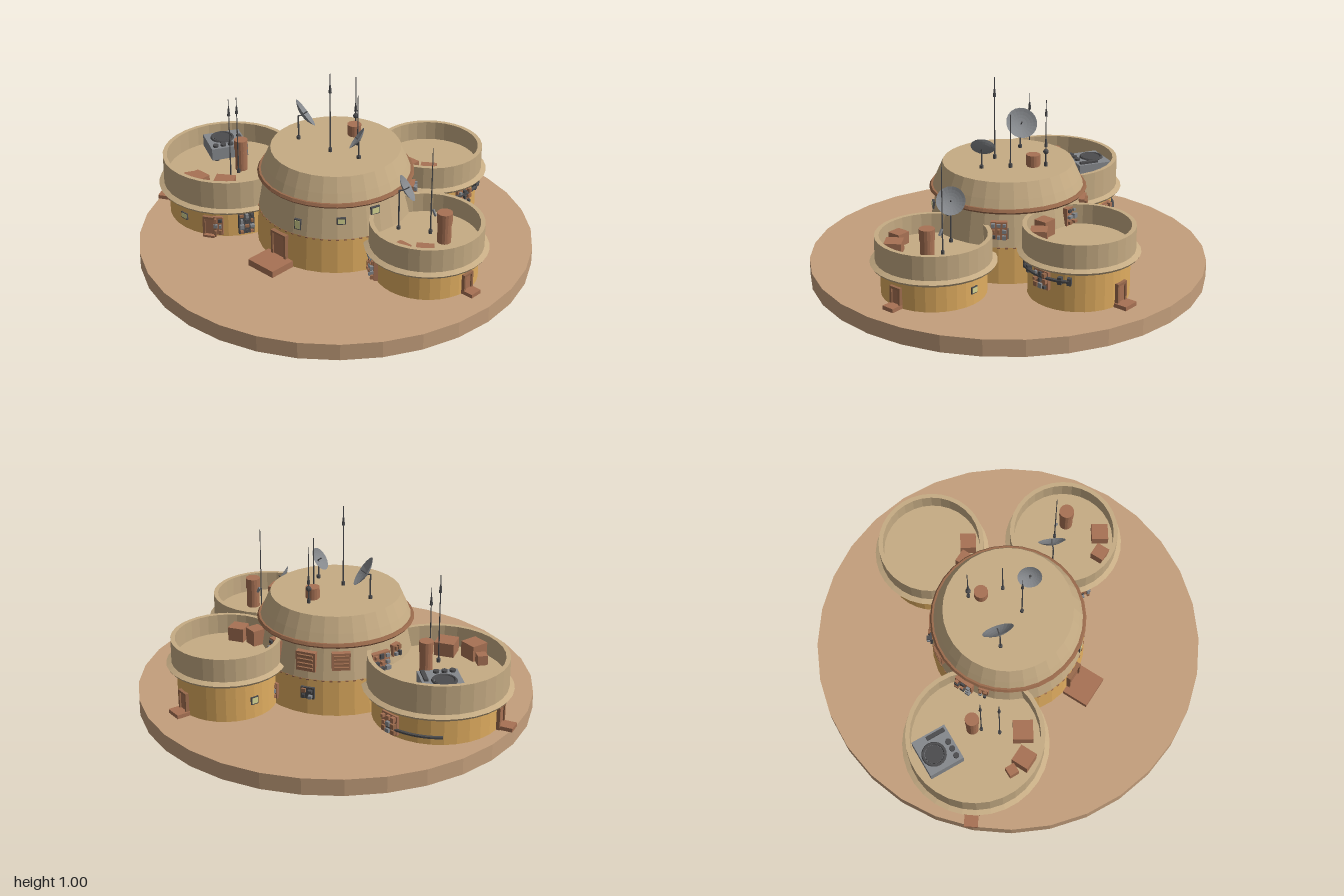
import * as THREE from 'three';

const mat = (color) => new THREE.MeshStandardMaterial({ color, flatShading: true, side: THREE.DoubleSide });
const SAND = mat(0xc49f7c), OCHRE = mat(0xe0ad60), TAN = mat(0xc6ac84), RUST = mat(0xa87254),
  BROWN = mat(0x9a6a4c), GREY = mat(0x85888c), DARK = mat(0x4c4c4e), GLASS = mat(0xd6d592);
const GROUND = 0.085;

function add(parent, name, geometry, material, x = 0, y = 0, z = 0) {
  const mesh = new THREE.Mesh(geometry, material);
  mesh.name = name;
  mesh.position.set(x, y, z);
  parent.add(mesh);
  return mesh;
}
const box = (p, name, m, w, h, d, x, y, z) => add(p, name, new THREE.BoxGeometry(w, h, d), m, x, y, z);
// upright cylinder measured from its base
const rod = (p, name, m, r, h, x, y, z, sides = 8, rTop = r) =>
  add(p, name, new THREE.CylinderGeometry(rTop, r, h, sides), m, x, y + h / 2, z);
const lathe = (p, name, m, pts) =>
  add(p, name, new THREE.LatheGeometry(pts.map(([r, y]) => new THREE.Vector2(r, y)), 32), m);

function group(parent, name, x = 0, y = 0, z = 0, turn = 0) {
  const g = new THREE.Group();
  g.name = name;
  g.position.set(x, y, z);
  g.rotation.y = turn;
  parent.add(g);
  return g;
}
// group on a round wall, its +z pointing outward
const onWall = (p, name, r, deg, y) => {
  const a = THREE.MathUtils.degToRad(deg);
  return group(p, name, r * Math.sin(a), y, r * Math.cos(a), a);
};

let seed = 7;
const rand = () => (seed = (seed * 16807) % 2147483647) / 2147483647;

function windowPane(p, r, deg, y, w, h) {
  const g = onWall(p, 'window', r, deg, y);
  box(g, 'windowFrame', DARK, w, h, 0.016, 0, 0, 0);
  box(g, 'windowGlass', GLASS, w - 0.01, h - 0.01, 0.02, 0, 0, 0);
}

function door(p, r, deg, w, h, stepW, stepH, stepD) {
  const g = onWall(p, 'door', r, deg, GROUND);
  box(g, 'doorLeaf', RUST, w - 0.02, h, 0.02, 0, h / 2, 0);
  for (const s of [-1, 1]) box(g, 'doorPost', BROWN, 0.012, h, 0.035, s * (w / 2 - 0.006), h / 2, 0);
  box(g, 'doorLintel', BROWN, w, 0.012, 0.035, 0, h, 0);
  box(g, 'doorStep', RUST, stepW, stepH, stepD, 0, stepH / 2, stepD / 2);
}

// wall panel with a grid of small fittings
function panel(p, r, deg, y, w, h, base = RUST) {
  const g = onWall(p, 'servicePanel', r, deg, y);
  box(g, 'panelPlate', base, w, h, 0.025, 0, 0, 0);
  const cols = Math.max(2, Math.round(w / 0.03)), rows = Math.max(2, Math.round(h / 0.03));
  for (let i = 0; i < cols; i++) for (let j = 0; j < rows; j++) {
    const m = [DARK, RUST, BROWN, GREY][Math.floor(rand() * 4)];
    box(g, 'panelFitting', m, w / cols * (0.4 + 0.4 * rand()), h / rows * (0.4 + 0.4 * rand()), 0.02 + 0.02 * rand(),
      ((i + 0.5) / cols - 0.5) * w, ((j + 0.5) / rows - 0.5) * h, 0.012);
  }
}

// shutter with horizontal slats
function shutter(p, r, deg, y, w, h) {
  const g = onWall(p, 'shutter', r, deg, y);
  box(g, 'shutterPlate', RUST, w, h, 0.03, 0, 0, 0);
  for (let i = 0; i < 4; i++) box(g, 'shutterSlat', BROWN, w * 0.8, h * 0.1, 0.015, 0, (i - 1.5) * h * 0.22, 0.018);
}

// horizontal pipe following a round wall
function wallPipe(p, r, from, to, y) {
  const pts = [];
  for (let i = 0; i <= 8; i++) {
    const a = THREE.MathUtils.degToRad(from + (to - from) * i / 8);
    pts.push(new THREE.Vector3(r * Math.sin(a), y, r * Math.cos(a)));
  }
  add(p, 'wallPipe', new THREE.TubeGeometry(new THREE.CatmullRomCurve3(pts), 16, 0.009, 6), DARK);
}

function antenna(p, x, y, z, top, bead) {
  const g = group(p, 'antenna', x, y, z), h = top - y;
  rod(g, 'antennaFoot', DARK, 0.009, 0.02, 0, 0, 0);
  rod(g, 'antennaMast', DARK, 0.004, h, 0, 0, 0, 6, 0.002);
  if (bead) rod(g, 'antennaBead', DARK, 0.008, 0.04, 0, bead - y - 0.02, 0, 8, 0.004);
}

// shallow bowl facing along a direction, on a thin mast
function dish(p, r, center, dir, foot) {
  const g = group(p, 'satelliteDish'), n = new THREE.Vector3(...dir).normalize();
  const pts = [];
  for (let i = 0; i <= 5; i++) pts.push(new THREE.Vector2(r * i / 5, r * 0.3 * ((i / 5) ** 2 - 0.8)));
  const bowl = add(g, 'dishBowl', new THREE.LatheGeometry(pts, 20), GREY, ...center);
  bowl.quaternion.setFromUnitVectors(new THREE.Vector3(0, 1, 0), n);
  rod(bowl, 'dishFeed', DARK, 0.003, r * 0.4, 0, -r * 0.2, 0, 6);
  const back = new THREE.Vector3(...center).addScaledVector(n, -r * 0.25);
  rod(g, 'dishMast', DARK, 0.004, back.y - foot[1], foot[0], foot[1], foot[2], 6);
  rod(g, 'dishFoot', DARK, 0.01, 0.015, ...foot);
  const start = new THREE.Vector3(foot[0], back.y, foot[2]);
  add(g, 'dishArm', new THREE.TubeGeometry(new THREE.LineCurve3(start, back), 1, 0.004, 6), DARK);
}

function vent(p, x, y, z, r, top) {
  const g = group(p, 'roofVent', x, y, z), h = top - y;
  rod(g, 'ventPipe', RUST, r * 0.9, h, 0, 0, 0, 16);
  rod(g, 'ventCap', RUST, r, Math.min(h, 0.055), 0, h - Math.min(h, 0.055), 0, 16);
}

function crate(p, x, y, z, w, h, turn) {
  box(p, 'roofCrate', RUST, w, h, w, x, y + h / 2, z).rotation.y = turn;
}

// round house with a flared eave and a parapet around a sunken roof
function roundHouse(p, name, x, z, wall, eave, eaveY, top, roofY) {
  const g = group(p, name, x, 0, z), par = eave - 0.025;
  lathe(g, 'wall', OCHRE, [[wall, GROUND], [wall, eaveY]]);
  lathe(g, 'parapetAndRoof', TAN, [[wall, eaveY - 0.02], [eave - 0.008, eaveY - 0.012], [eave, eaveY],
    [par, eaveY + 0.012], [par, top], [par - 0.022, top], [par - 0.022, roofY], [0, roofY]]);
  return g;
}

export function createModel() {
  const root = new THREE.Group();
  root.name = 'domeSettlement';
  rod(root, 'groundDisc', SAND, 1, GROUND, 0, 0, 0, 32);

  // central tower
  const tower = group(root, 'centralTower');
  lathe(tower, 'lowerWall', OCHRE, [[0.398, GROUND], [0.39, 0.27]]);
  lathe(tower, 'upperWall', TAN, [[0.39, 0.27], [0.357, 0.445]]);
  lathe(tower, 'trimRing', BROWN, [[0.355, 0.44], [0.385, 0.44], [0.393, 0.45], [0.385, 0.463], [0.36, 0.463]]);
  lathe(tower, 'slopedRoof', TAN, [[0.375, 0.463], [0.358, 0.505], [0.325, 0.58], [0, 0.58]]);
  for (let i = 0; i < 64; i++) {
    box(onWall(tower, 'wallStud', 0.388, i * 5.625, 0.268), 'stud', BROWN, 0.014, 0.006, 0.01, 0, 0, 0);
  }
  door(tower, 0.392, 0, 0.1, 0.16, 0.17, 0.035, 0.14);
  windowPane(tower, 0.379, 15, 0.325, 0.035, 0.055);
  windowPane(tower, 0.372, 48, 0.365, 0.045, 0.035);
  windowPane(tower, 0.366, 75, 0.393, 0.05, 0.04);
  windowPane(tower, 0.378, 128, 0.34, 0.035, 0.05);
  panel(tower, 0.385, 124, 0.36, 0.08, 0.09);
  panel(tower, 0.392, 183, 0.16, 0.08, 0.08);
  panel(tower, 0.374, 183, 0.36, 0.07, 0.12);
  shutter(tower, 0.374, 212, 0.36, 0.1, 0.1);
  panel(tower, 0.39, 214, 0.2, 0.07, 0.06, DARK);
  shutter(tower, 0.374, 238, 0.37, 0.09, 0.09);
  panel(tower, 0.382, 268, 0.34, 0.1, 0.1);
  panel(tower, 0.375, 284, 0.37, 0.05, 0.06);
  vent(tower, -0.015, 0.58, -0.15, 0.035, 0.64);
  antenna(tower, 0.025, 0.58, 0.065, 1.0, 0.92);
  antenna(tower, -0.052, 0.58, -0.2, 0.87, 0.7);
  add(tower, 'antennaFitting', new THREE.SphereGeometry(0.014, 8, 6), DARK, -0.052, 0.655, -0.2);
  antenna(tower, 0.075, 0.58, -0.08, 0.85);
  dish(tower, 0.08, [-0.165, 0.72, 0.05], [0.48, 0.58, -0.66], [-0.185, 0.58, 0.075]);
  dish(tower, 0.061, [0.165, 0.685, 0.02], [-0.68, 0.57, 0.45], [0.13, 0.58, 0.02].map((v, i) => i ? v : 0.175));

  // large house on the right side (-x)
  const large = roundHouse(root, 'largeHouse', -0.585, 0.185, 0.32, 0.37, 0.245, 0.405, 0.3);
  door(large, 0.317, 299, 0.08, 0.11, 0.07, 0.02, 0.08);
  windowPane(large, 0.317, 0, 0.155, 0.045, 0.035);
  door(large, 0.317, 28, 0.07, 0.105, 0.06, 0.012, 0.03);
  panel(large, 0.32, 36, 0.15, 0.05, 0.1);
  panel(large, 0.325, 61, 0.165, 0.08, 0.12, DARK);
  panel(large, 0.317, 187, 0.15, 0.1, 0.1);
  wallPipe(large, 0.33, 185, 235, 0.13);
  vent(large, 0.04, 0.3, -0.045, 0.035, 0.47);
  antenna(large, 0.06, 0.3, -0.005, 0.73, 0.66);
  antenna(large, 0.095, 0.3, 0.08, 0.76, 0.69);
  crate(large, 0.155, 0.3, 0.18, 0.1, 0.07, 0.6);
  crate(large, 0.04, 0.3, 0.26, 0.09, 0.08, 0);
  crate(large, -0.04, 0.3, 0.24, 0.05, 0.05, -0.45);
  // cooling unit with a fan
  const unit = group(large, 'coolingUnit', -0.161, 0.3, -0.117, -0.47);
  box(unit, 'unitCasing', GREY, 0.185, 0.065, 0.195, 0, 0.04, 0);
  for (const s of [-1, 1]) box(unit, 'unitFoot', DARK, 0.18, 0.01, 0.02, 0, 0.005, s * 0.07);
  add(unit, 'fanRim', new THREE.TorusGeometry(0.055, 0.008, 6, 20), DARK, -0.025, 0.074, 0.01).rotation.x = Math.PI / 2;
  rod(unit, 'fanHub', DARK, 0.046, 0.006, -0.025, 0.072, 0.01, 16);
  for (let i = 0; i < 3; i++) rod(unit, 'unitKnob', DARK, 0.015, 0.012, 0.066, 0.072, -0.01 + i * 0.04, 10);
  box(unit, 'unitBar', DARK, 0.1, 0.012, 0.02, 0.03, 0.078, -0.075);

  // small house on the left side (+x)
  const small = roundHouse(root, 'smallHouse', 0.58, -0.03, 0.255, 0.305, 0.243, 0.375, 0.275);
  door(small, 0.252, 90, 0.065, 0.1, 0.065, 0.02, 0.065);
  panel(small, 0.255, -38, 0.145, 0.12, 0.11);
  panel(small, 0.255, -62, 0.15, 0.07, 0.1, DARK);
  windowPane(small, 0.252, 180, 0.16, 0.04, 0.035);
  vent(small, 0.08, 0.275, -0.035, 0.038, 0.435);
  antenna(small, -0.015, 0.275, -0.045, 0.74);
  box(small, 'antennaBracket', GREY, 0.035, 0.012, 0.008, 0.002, 0.395, -0.05).rotation.z = -1;
  crate(small, 0.115, 0.275, 0.15, 0.085, 0.06, 0.6);
  crate(small, 0.02, 0.275, 0.21, 0.07, 0.06, 0);
  dish(small, 0.071, [-0.13, 0.5, 0.005], [0.63, 0.54, -0.54], [-0.155, 0.275, 0.03]);

  // house at the back
  const rear = roundHouse(root, 'rearHouse', 0.14, -0.56, 0.245, 0.295, 0.3, 0.43, 0.33);
  door(rear, 0.242, 180, 0.07, 0.11, 0.085, 0.02, 0.07);
  panel(rear, 0.245, 85, 0.225, 0.09, 0.09);
  wallPipe(rear, 0.262, 50, 118, 0.242);
  for (const a of [50, 62, 108, 118]) box(onWall(rear, 'pipeClamp', 0.252, a, 0.242), 'clamp', DARK, 0.02, 0.035, 0.03, 0, 0, 0);
  windowPane(rear, 0.242, 270, 0.18, 0.04, 0.04);
  crate(rear, 0.118, 0.33, 0.148, 0.08, 0.07, 0.6);
  crate(rear, 0.025, 0.33, 0.19, 0.07, 0.08, 0);
  return root;
}
